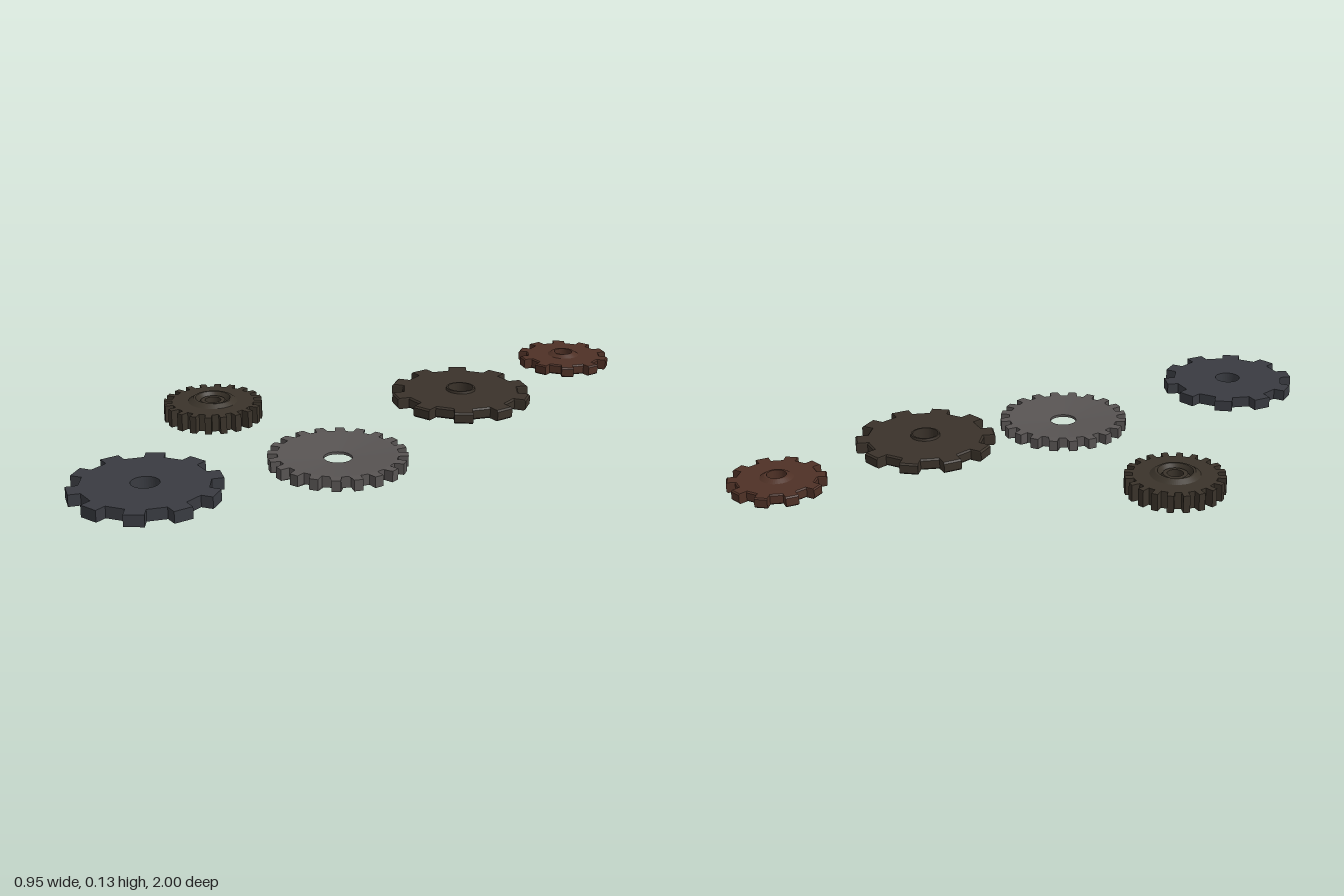
import * as THREE from 'three';

// Ring of points: toothed outline when teeth are given, otherwise an even circle.
function ring(n, r, y, tip) {
  const pitch = (2 * Math.PI) / n;
  const pts = [];
  for (let t = 0; t < n; t++) {
    const centre = -Math.PI / 20 + t * pitch;
    const offs = tip ? [-0.25, -0.21, 0.21, 0.25] : [-0.375, -0.125, 0.125, 0.375];
    offs.forEach((o, k) => {
      const a = centre + o * pitch;
      const rad = tip && (k === 1 || k === 2) ? tip : r;
      pts.push(rad * Math.cos(a), y, -rad * Math.sin(a));
    });
  }
  return pts;
}

// Gear symmetric about its middle plane. profile: [radius, half height] from the hole outwards.
function gearGeometry({ teeth, root, tip, half, bevel = 0, profile }) {
  const top = profile.map(([r, h]) => [r, h]);
  top.push([root - bevel, half, tip - bevel]);
  if (bevel) top.push([root, half - bevel, tip]);
  const bottom = top.map(([r, h, t]) => [r, -h, t]).reverse();
  const loop = [...top, ...bottom];

  const position = loop.flatMap(([r, h, t]) => ring(teeth, r, h, t));
  const n = teeth * 4;
  const index = [];
  for (let i = 0; i < loop.length; i++) {
    const i2 = (i + 1) % loop.length;
    for (let j = 0; j < n; j++) {
      const j2 = (j + 1) % n;
      const a = i * n + j, b = i2 * n + j, c = i2 * n + j2, d = i * n + j2;
      index.push(a, b, c, a, c, d);
    }
  }
  const indexed = new THREE.BufferGeometry();
  indexed.setAttribute('position', new THREE.Float32BufferAttribute(position, 3));
  indexed.setIndex(index);
  const geo = indexed.toNonIndexed();
  geo.computeVertexNormals();
  return geo;
}

const GEARS = [
  { // small gear with a bevelled hub
    name: 'smallRustGear', color: 0x4f3126, at: [0.256, 0.109, -0.855],
    teeth: 10, root: 0.121, tip: 0.147, half: 0.016, bevel: 0.004,
    profile: [[0.029, 0.025], [0.036, 0.025], [0.05, 0.016]],
  },
  { // wide gear with a thin collar around the hole
    name: 'wideBrownGear', color: 0x3a322a, at: [0.256, 0.108, -0.347],
    teeth: 10, root: 0.182, tip: 0.217, half: 0.0175, bevel: 0.005,
    profile: [[0.039, 0.025], [0.044, 0.025], [0.046, 0.0175]],
  },
  { // thick fine-toothed gear with a ringed, recessed hub
    name: 'thickBrownGear', color: 0x3a332a, at: [-0.32, 0.0385, 0.182],
    teeth: 20, root: 0.13, tip: 0.156, half: 0.0275,
    profile: [[0.025, 0.03], [0.038, 0.03], [0.045, 0.02], [0.055, 0.0385],
      [0.062, 0.0385], [0.078, 0.0275]],
  },
  { // fine-toothed gear, dished thin towards the hole
    name: 'dishedGreyGear', color: 0x585453, at: [0.256, 0.04, 0.182],
    teeth: 20, root: 0.178, tip: 0.207, half: 0.017,
    profile: [[0.042, 0.004], [0.174, 0.017]],
  },
  { // plain flat gear
    name: 'flatBlueGreyGear', color: 0x393b41, at: [0.12, 0.08, 0.78],
    teeth: 10, root: 0.182, tip: 0.217, half: 0.0175,
    profile: [[0.041, 0.0175]],
  },
];

export function createModel() {
  const group = new THREE.Group();
  group.name = 'gearSet';
  for (const g of GEARS) {
    const material = new THREE.MeshStandardMaterial({ color: g.color, flatShading: true });
    const mesh = new THREE.Mesh(gearGeometry(g), material);
    mesh.name = g.name;
    mesh.position.set(...g.at);
    group.add(mesh);
  }
  return group;
}
